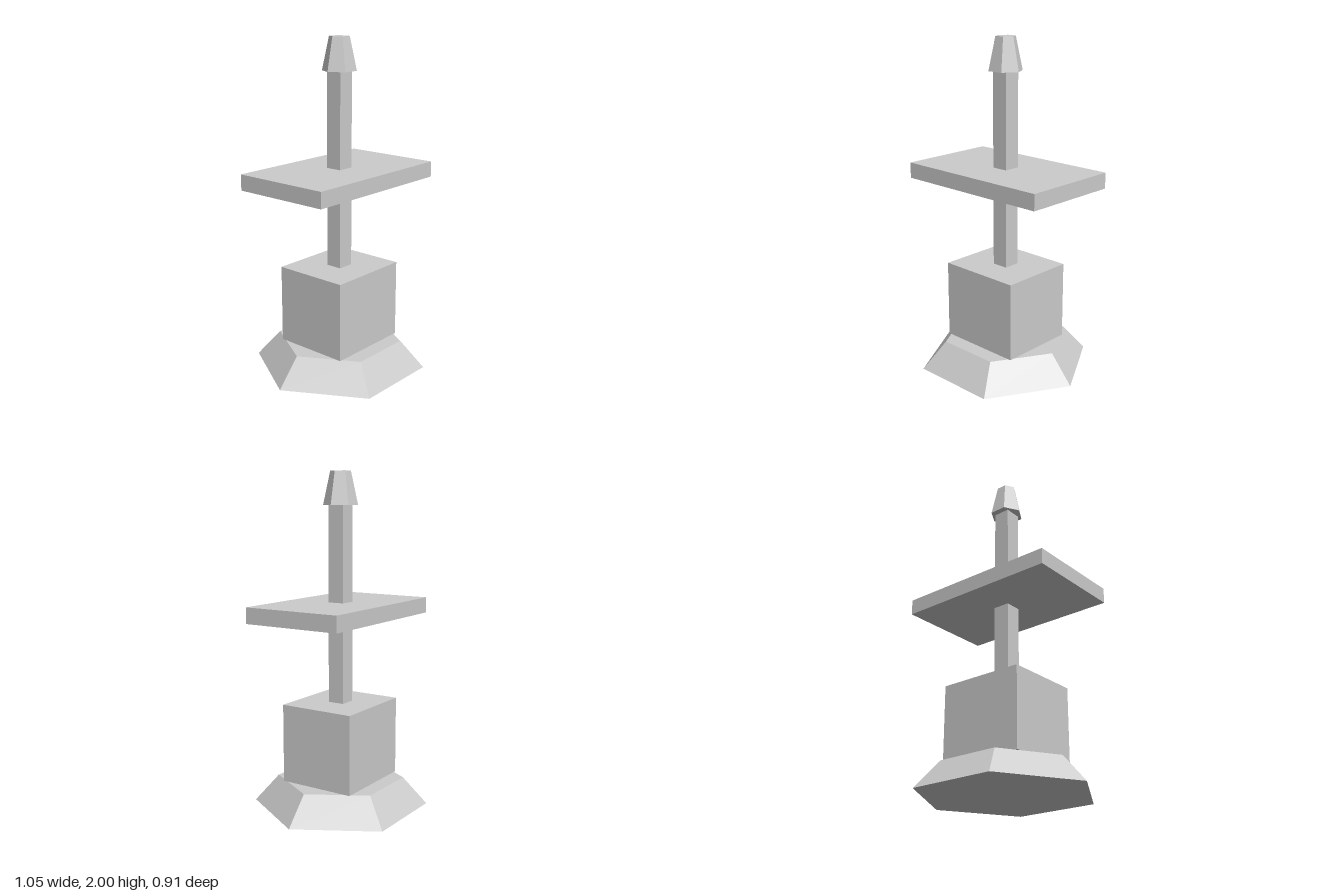
import * as THREE from 'three';

export function createModel() {
  const group = new THREE.Group();
  const material = new THREE.MeshStandardMaterial({ color: 0xcccccc, flatShading: true });

  // Adds a part whose underside sits at the given height.
  function add(name, geometry, bottom, height) {
    const mesh = new THREE.Mesh(geometry, material);
    mesh.name = name;
    mesh.position.y = bottom + height / 2;
    group.add(mesh);
  }
  const box = (name, width, depth, bottom, top) =>
    add(name, new THREE.BoxGeometry(width, top - bottom, depth), bottom, top - bottom);

  // Tapered hexagonal prism with corners on the x axis.
  const hex = (name, rTop, rBottom, bottom, top) =>
    add(name, new THREE.CylinderGeometry(rTop, rBottom, top - bottom, 6, 1, false, Math.PI / 6), bottom, top - bottom);

  hex('base', 0.382, 0.527, 0, 0.163);
  box('pedestal', 0.525, 0.47, 0.163, 0.635);
  box('pole', 0.102, 0.102, 0.635, 1.805);
  box('platform', 1.0, 0.615, 1.143, 1.238);
  hex('cap', 0.06, 0.102, 1.805, 2);

  return group;
}
